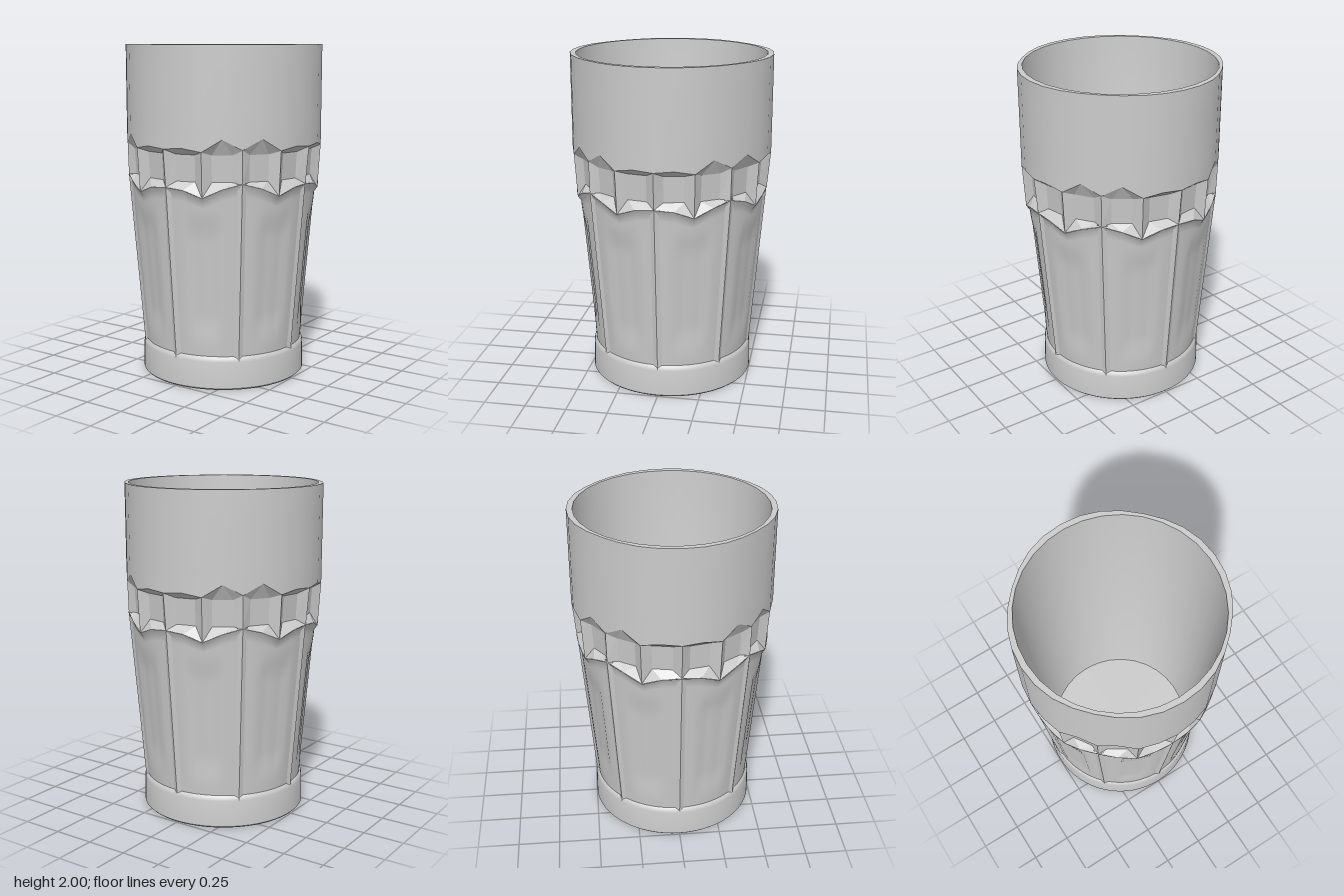
import * as THREE from 'three';
import { toCreasedNormals } from 'three/addons/utils/BufferGeometryUtils.js';

const STEP = Math.PI / 16;                      // 32 steps round the glass
const TOP_EDGE = [1.42, 1.43, 1.41, 1.48, 1.42]; // upper band edge over 45 degrees
const LOW_EDGE = [1.2, 1.19, 1.15, 1.2, 1.23];   // lower band edge over 45 degrees

const polar = (a, r, y) => new THREE.Vector3(r * Math.sin(a), y, r * Math.cos(a));

// Edge height at an angle, mirrored and repeated every quarter turn
function edge(table, a) {
  let k = (((a / STEP) % 8) + 8) % 8;
  k = Math.min(k, 8 - k);
  const i = Math.min(3, Math.floor(k));
  return THREE.MathUtils.lerp(table[i], table[i + 1], k - i);
}
const rimRadius = a => 0.6 - 0.015 * Math.sin(2 * a) ** 4;
const bodyRadius = y => 0.482 + 0.083 * (y - 0.2);

// Closed ring surface: point(angle, t) with t from 0 (bottom) to 1 (top)
function ringSurface(nu, nv, point) {
  const pos = [], idx = [];
  for (let j = 0; j <= nv; j++)
    for (let i = 0; i < nu; i++) pos.push(...point(i / nu * Math.PI * 2, j / nv).toArray());
  for (let j = 0; j < nv; j++)
    for (let i = 0; i < nu; i++) {
      const a = j * nu + i, b = j * nu + (i + 1) % nu;
      idx.push(a, b, b + nu, a, b + nu, a + nu);
    }
  const g = new THREE.BufferGeometry();
  g.setAttribute('position', new THREE.Float32BufferAttribute(pos, 3));
  g.setIndex(idx);
  g.computeVertexNormals();
  return g;
}

// Flat-faced geometry from polygons given as corner lists
function facets(polys) {
  const pos = [];
  for (const p of polys)
    for (let i = 1; i < p.length - 1; i++)
      for (const v of [p[0], p[i], p[i + 1]]) pos.push(v.x, v.y, v.z);
  const g = new THREE.BufferGeometry();
  g.setAttribute('position', new THREE.Float32BufferAttribute(pos, 3));
  g.computeVertexNormals();
  return g;
}

const lathe = (pts, n) => toCreasedNormals(
  new THREE.LatheGeometry(pts.map(p => new THREE.Vector2(...p)), n), 0.6);

export function createModel() {
  const group = new THREE.Group();
  const mat = new THREE.MeshStandardMaterial({ color: 0xcccccc, side: THREE.DoubleSide });
  const add = (name, geo) => {
    const m = new THREE.Mesh(geo, mat);
    m.name = name;
    group.add(m);
    return m;
  };
  const S = THREE.MathUtils.smoothstep;

  // Foot and underside
  add('foot', lathe([[0, 0], [0.49, 0], [0.5, 0.01], [0.497, 0.17], [0.492, 0.19], [0.481, 0.2]], 64));

  // Tapered body with eight shallow recessed panels
  add('body', ringSurface(96, 30, (a, t) => {
    const top = edge(LOW_EDGE, a);
    const y = THREE.MathUtils.lerp(0.2, top, t);
    if (t === 1) return polar(a, 0.58, y);
    const quarter = Math.PI / 4;
    const offset = Math.abs(a - Math.round(a / quarter) * quarter);
    const recess = S(offset, 0.19, 0.27) * S(y, 0.25, 0.45) * (1 - S(y, 0.9, 1.08));
    return polar(a, bodyRadius(y) - 0.013 * recess, y);
  }));

  // Eight pointed ribs running up to the band
  for (let k = 0; k < 8; k++) {
    const a = k * Math.PI / 4, top = edge(LOW_EDGE, a) + 0.005;
    const foot = polar(a, 0.498, 0.165);
    const row = y => {
      const r = bodyRadius(y), w = 0.031 / r;
      return [polar(a - w, r - 0.003, y), polar(a, r + 0.013, y), polar(a + w, r - 0.003, y)];
    };
    const lo = row(0.2), hi = row(top);
    add('rib', facets([
      [lo[0], lo[1], hi[1], hi[0]],
      [lo[1], lo[2], hi[2], hi[1]],
      [foot, lo[1], lo[0]], [foot, lo[2], lo[1]],
    ]));
  }

  // Faceted band of sixteen hollow cells
  const cells = [];
  for (let k = 0; k < 32; k += 2) {
    const [T0, T1, T2] = [0, 1, 2].map(i => {
      const a = (k + i) * STEP;
      return polar(a, rimRadius(a), edge(TOP_EDGE, a));
    });
    const [B0, B1, B2] = [0, 1, 2].map(i => {
      const a = (k + i) * STEP;
      return polar(a, 0.58, edge(LOW_EDGE, a));
    });
    const l = (k + 0.45) * STEP, r = (k + 1.55) * STEP;
    const lb = polar(l, 0.54, 1.235), rb = polar(r, 0.54, 1.235);
    const lt = polar(l, 0.55, 1.39), rt = polar(r, 0.55, 1.39);
    cells.push(
      [lb, rb, rt, lt], [B0, lb, lt, T0], [rb, B2, T2, rt],
      [T0, lt, T1], [lt, rt, T1], [rt, T2, T1],
      [B0, B1, lb], [B1, rb, lb], [B1, B2, rb]);
  }
  add('facetedBand', facets(cells));

  // Plain upper wall
  add('upperWall', ringSurface(32, 4, (a, t) =>
    polar(a, rimRadius(a), THREE.MathUtils.lerp(edge(TOP_EDGE, a), 2, t))));

  // Flat rim
  add('rim', ringSurface(32, 1, (a, t) => polar(a, t ? 0.565 : rimRadius(a), 2)));

  // Inner wall and floor
  add('inside', lathe([[0.565, 2], [0.46, 0.12], [0.453, 0.1], [0, 0.1]], 32));

  return group;
}
